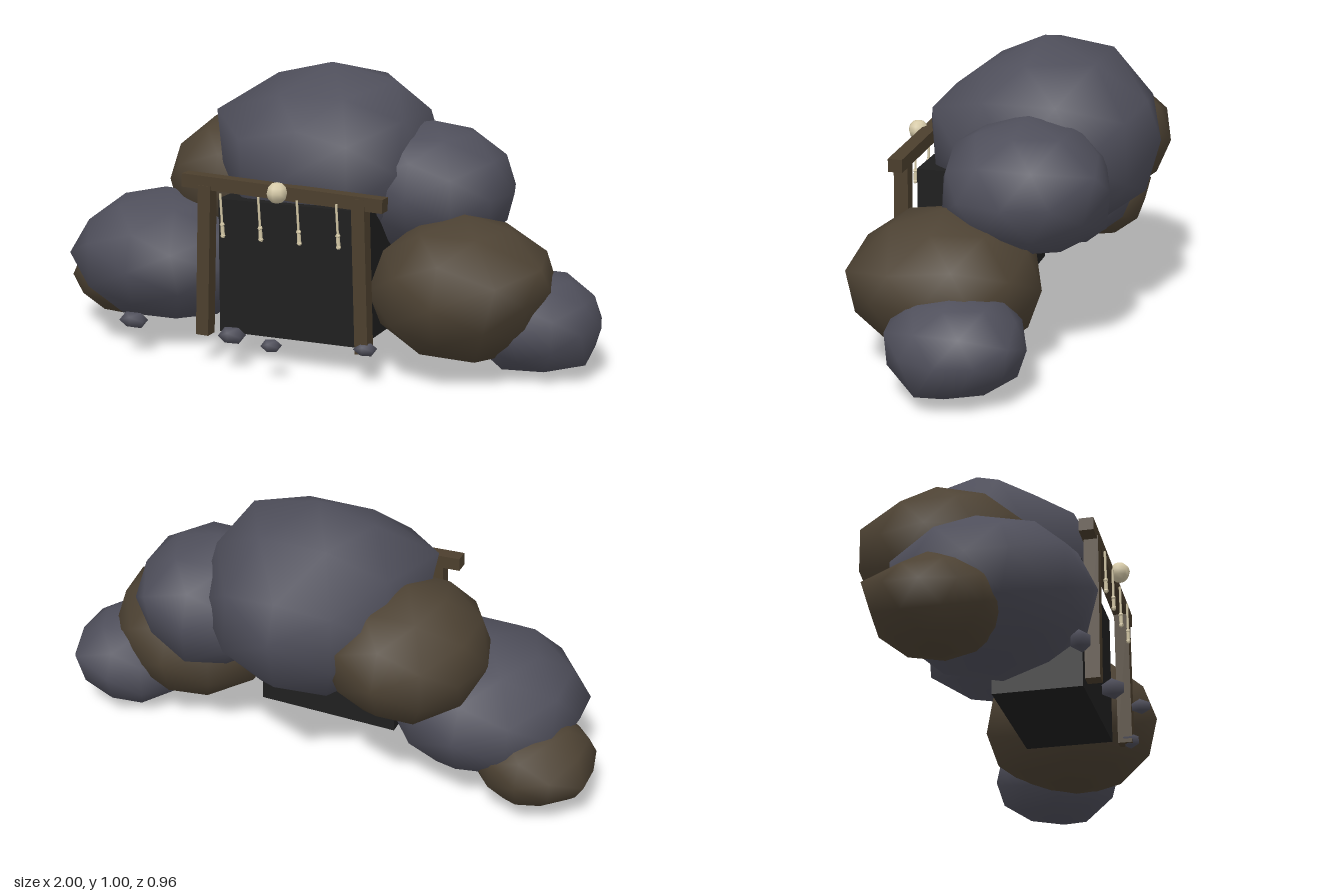
import * as THREE from 'three';
import { mergeVertices } from 'three/addons/utils/BufferGeometryUtils.js';

function material(name, color) {
  const m = new THREE.MeshStandardMaterial({ color });
  m.name = name;
  return m;
}

// Smooth-shaded boulder: a coarse ball, lightly roughened; each corner [x, y, z]
// (in units of the radii) pulls the nearest vertex onto itself
function rockGeometry(radii, { seed = 1, detail = 1, rough = 0.06, corners = [] }) {
  let s = seed * 7919 + 17;
  const random = () => ((s = (s * 16807) % 2147483647) / 2147483647);
  let geo = new THREE.IcosahedronGeometry(1, detail);
  geo.deleteAttribute('normal');
  geo.deleteAttribute('uv');
  geo = mergeVertices(geo, 1e-3);
  const pos = geo.attributes.position;
  const points = Array.from({ length: pos.count }, (_, i) => new THREE.Vector3().fromBufferAttribute(pos, i));
  const targets = corners.map((c) => {
    const to = new THREE.Vector3(...c);
    const dir = to.clone().normalize();
    const from = points.reduce((a, b) => (b.distanceTo(dir) < a.distanceTo(dir) ? b : a));
    return { from, to };
  });
  for (const p of points) {
    const axial = Math.max(Math.abs(p.x), Math.abs(p.y), Math.abs(p.z)) > 0.99;
    if (!axial) p.multiplyScalar(1 + (random() - 0.35) * rough);
  }
  targets.forEach(({ from, to }) => from.copy(to));
  points.forEach((p, i) => pos.setXYZ(i, p.x, p.y, p.z));
  geo.scale(...radii);
  geo.computeVertexNormals();
  return geo;
}

export function createModel() {
  const grey = material('grey stone', 0x4f4f5b);
  const brown = material('brown stone', 0x4d4233);
  const dark = material('dark cave', 0x1f1f1f);
  const wood = material('wood', 0x4c3f2d);
  const bone = material('bone', 0xd6caa8);

  const model = new THREE.Group();
  model.name = 'caveEntrance';

  function add(name, geo, mat, position, parent = model) {
    const mesh = new THREE.Mesh(geo, mat);
    mesh.name = name;
    mesh.position.set(...position);
    parent.add(mesh);
    return mesh;
  }

  function boulder(name, mat, position, radii, seed, corners) {
    add(name, rockGeometry(radii, { seed, corners }), mat, position);
  }

  // Boulders piled around the opening: centre, radii, seed, corners
  boulder('crownBoulder', grey, [0, 0.66, -0.07], [0.385, 0.337, 0.41], 1, [
    [-1, 0.49, 0.3], [0.62, 0.85, 0], [-0.31, 0.71, 0.46], [0.31, 0.71, 0.46],
    [0, 0.43, 0.77], [0, 0.39, -0.88], [0, -0.45, 0.75]]);
  boulder('upperRightBoulder', brown, [-0.35, 0.555, -0.135], [0.29, 0.235, 0.305], 2, [[-0.46, 0.91, 0]]);
  boulder('upperLeftBoulder', grey, [0.36, 0.58, -0.11], [0.295, 0.23, 0.285], 3, [[0.5, 0.4, -0.95], [0, -0.55, -0.96]]);
  boulder('lowerRightBoulder', grey, [-0.57, 0.295, 0.07], [0.34, 0.238, 0.335], 4, [[-0.98, 0, 0.42], [0.5, 0.31, 0.95]]);
  boulder('lowerLeftBoulder', brown, [0.55, 0.29, 0.1], [0.31, 0.25, 0.32], 5, [[0.65, 0.31, 0.86], [0.96, 0.45, 0.31]]);
  boulder('outerRightBoulder', brown, [-0.79, 0.175, -0.04], [0.21, 0.155, 0.21], 6, [[-0.62, -0.94, 0], [-0.57, 0.33, -0.98], [-1, 0, -0.53]]);
  boulder('outerLeftBoulder', grey, [0.77, 0.175, 0], [0.23, 0.175, 0.235], 7, [[0.6, 0.31, -0.91], [0.86, -0.65, 0.3]]);

  // Dark hollow
  add('caveInterior', new THREE.BoxGeometry(0.515, 0.465, 0.305), dark, [0, 0.333, 0.153]);

  // Timber frame with leaning posts and a sagging lintel
  for (const side of [-1, 1]) {
    const post = add(side < 0 ? 'rightPost' : 'leftPost', new THREE.BoxGeometry(0.046, 0.52, 0.05), wood, [side * 0.285, 0.36, 0.348]);
    post.rotation.z = side * 0.03;
  }
  const lintel = add('lintel', new THREE.BoxGeometry(0.726, 0.046, 0.05), wood, [0, 0.618, 0.345]);
  lintel.rotation.z = -0.042;

  // Round ornament on the lintel
  add('ornament', new THREE.SphereGeometry(0.036, 8, 6), bone, [0, 0.623, 0.391]);

  // Hanging charms: a cord with a small knobbed bone
  [-0.214, -0.074, 0.066, 0.206].forEach((x, i) => {
    const charm = new THREE.Group();
    charm.name = 'hangingCharm' + (i + 1);
    charm.position.set(x, 0.6, 0.379);
    charm.rotation.z = 0.06;
    add('cord', new THREE.CylinderGeometry(0.0045, 0.0045, 0.11, 5), bone, [0, -0.055, 0], charm);
    add('boneShaft', new THREE.CylinderGeometry(0.006, 0.007, 0.05, 6), bone, [0, -0.123, 0], charm);
    for (const y of [-0.105, -0.143]) {
      add('boneKnob', new THREE.IcosahedronGeometry(0.009, 0), bone, [0, y, 0], charm);
    }
    model.add(charm);
  });

  // Pebbles before the entrance: centre, radii
  const pebbles = [
    [-0.565, 0.12, 0.36, 0.054, 0.031, 0.037],
    [-0.172, 0.117, 0.388, 0.049, 0.032, 0.043],
    [0.003, 0.118, 0.45, 0.036, 0.023, 0.036],
    [0.302, 0.117, 0.36, 0.041, 0.025, 0.036],
  ];
  pebbles.forEach(([x, y, z, ...radii], i) => {
    add('pebble' + (i + 1), rockGeometry(radii, { seed: 20 + i, detail: 0 }), grey, [x, y, z]);
  });

  return model;
}
